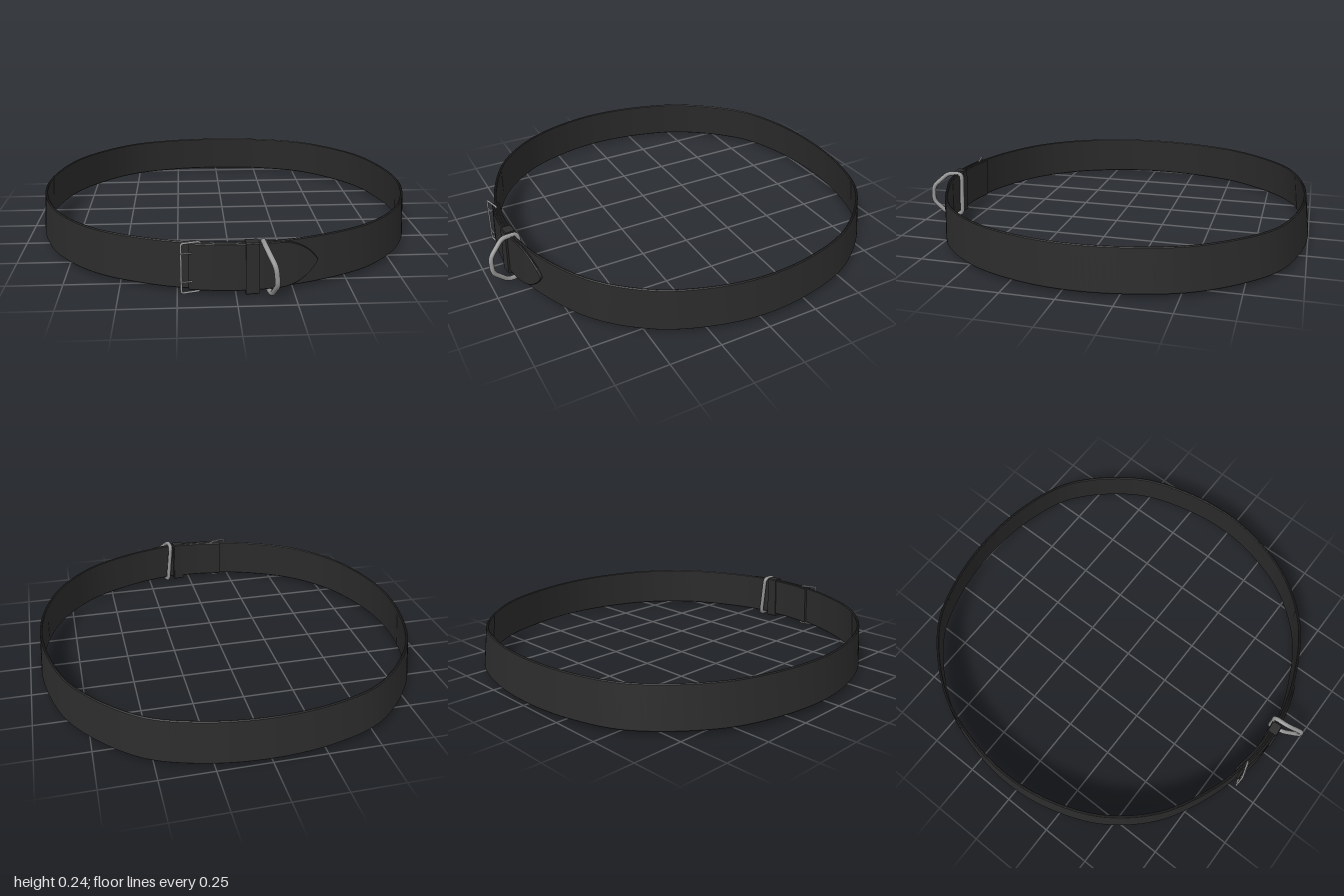
import * as THREE from 'three';
import { toCreasedNormals } from 'three/addons/utils/BufferGeometryUtils.js';

// Plan of the loop: right half from back to front, mirrored for the other side
const half = [[0, -1], [0.3, -0.965], [0.56, -0.86], [0.82, -0.57], [0.92, -0.28], [0.943, 0],
  [0.9, 0.24], [0.8, 0.47], [0.61, 0.68], [0.35, 0.815], [0.15, 0.869], [0, 0.883]];
const plan = half.concat(half.slice(1, -1).reverse().map(([x, z]) => [-x, z]));
const loop = new THREE.CatmullRomCurve3(plan.map(([x, z]) => new THREE.Vector3(x, 0, z)), true);
loop.arcLengthDivisions = 800;

// Position along the loop of a given x on the front side
function uAtX(x) {
  let a = 0.35, b = 0.65;
  for (let i = 0; i < 30; i++) {
    const m = (a + b) / 2;
    if (loop.getPointAt(m).x > x) a = m; else b = m;
  }
  return a;
}

// Sweep a chamfered strip along the loop; heights(point) gives [low, high]
function strap(u0, u1, inner, outer, heights, steps) {
  const closed = u1 - u0 === 1, pos = [], idx = [], n = 8;
  const rows = closed ? steps : steps + 1;
  for (let i = 0; i < rows; i++) {
    const u = u0 + (u1 - u0) * i / steps;
    const p = loop.getPointAt(u), t = loop.getTangentAt(u);
    const [lo, hi] = heights(p);
    const c = Math.min(0.004, (hi - lo) / 3);
    const ring = [[inner, lo + c], [inner + c, lo], [outer - c, lo], [outer, lo + c],
      [outer, hi - c], [outer - c, hi], [inner + c, hi], [inner, hi - c]];
    for (const [off, y] of ring) {
      // lean inward towards the top, most at the back
      const d = off - (0.016 - 0.01 * p.z) * (y - 0.02) / 0.21;
      pos.push(p.x + t.z * d, y, p.z - t.x * d);
    }
  }
  for (let i = 0; i < steps; i++) {
    for (let j = 0; j < n; j++) {
      const k = (j + 1) % n, r = i * n, s = ((i + 1) % rows) * n;
      idx.push(r + j, r + k, s + k, r + j, s + k, s + j);
    }
  }
  if (!closed) {
    const e = steps * n;
    for (let j = 1; j < n - 1; j++) idx.push(0, j + 1, j, e, e + j, e + j + 1);
  }
  const g = new THREE.BufferGeometry();
  g.setAttribute('position', new THREE.Float32BufferAttribute(pos, 3));
  g.setIndex(idx);
  return toCreasedNormals(g, 0.6);
}

// Closed wire with rounded corners
function wire(points, bend, radius) {
  const pts = points.map(p => new THREE.Vector3(...p)), path = new THREE.CurvePath();
  const n = pts.length;
  const toward = (a, b) => a.clone().add(b.clone().sub(a).setLength(bend));
  for (let i = 0; i < n; i++) {
    const prev = pts[(i + n - 1) % n], p = pts[i], next = pts[(i + 1) % n];
    path.add(new THREE.QuadraticBezierCurve3(toward(p, prev), p, toward(p, next)));
    path.add(new THREE.LineCurve3(toward(p, next), toward(next, p)));
  }
  return new THREE.TubeGeometry(path, 120, radius, 10, true);
}

export function createModel() {
  const group = new THREE.Group();
  const leather = new THREE.MeshStandardMaterial({ color: 0x2b2b2b });
  leather.name = 'black leather';
  const steel = new THREE.MeshStandardMaterial({ color: 0x949494 });
  steel.name = 'steel';
  const add = (name, geometry, material) => {
    const mesh = new THREE.Mesh(geometry, material);
    mesh.name = name;
    group.add(mesh);
  };

  // Main band all the way round
  add('band', strap(0, 1, -0.012, 0, p => [0.02, 0.227 + 0.005 * p.z], 200), leather);

  // Outer strap end with a pointed tip
  const tipX = 0.355, tipLength = 0.17;
  add('strapEnd', strap(uAtX(tipX), uAtX(-0.2), 0, 0.013, p => {
    const s = THREE.MathUtils.clamp((tipX - p.x) / tipLength, 0, 1);
    const h = Math.max(0.004, 0.105 * Math.pow(1 - (1 - s) ** 2, 0.75));
    return [0.125 - h, 0.125 + h];
  }, 70), leather);

  // Folded lining behind the buckle, and the keeper loop
  add('foldedLining', strap(uAtX(0.1), uAtX(-0.2), -0.025, -0.012, () => [0.02, 0.231], 24), leather);
  add('keeper', strap(uAtX(0.097), uAtX(0.04), -0.031, 0.022, () => [0.006, 0.237], 8), leather);

  // Ring around the strap, jutting forward
  add('ring', wire([
    [0.115, 0.231, 0.838], [0.12, 0.231, 0.915], [0.157, 0.165, 0.988],
    [0.166, 0.085, 0.988], [0.15, 0.012, 0.915], [0.137, 0.012, 0.838],
  ], 0.025, 0.0115), steel);

  // Wire buckle frame with two prongs
  add('buckleFrame', wire([
    [-0.232, 0.235, 0.88], [-0.15, 0.235, 0.857], [-0.15, 0.009, 0.857], [-0.232, 0.009, 0.88],
  ], 0.012, 0.005), steel);
  for (const y of [0.19, 0.06]) {
    const prong = new THREE.LineCurve3(new THREE.Vector3(-0.235, y, 0.882), new THREE.Vector3(-0.185, y, 0.876));
    add('buckleProng', new THREE.TubeGeometry(prong, 1, 0.004, 8), steel);
  }
  return group;
}
